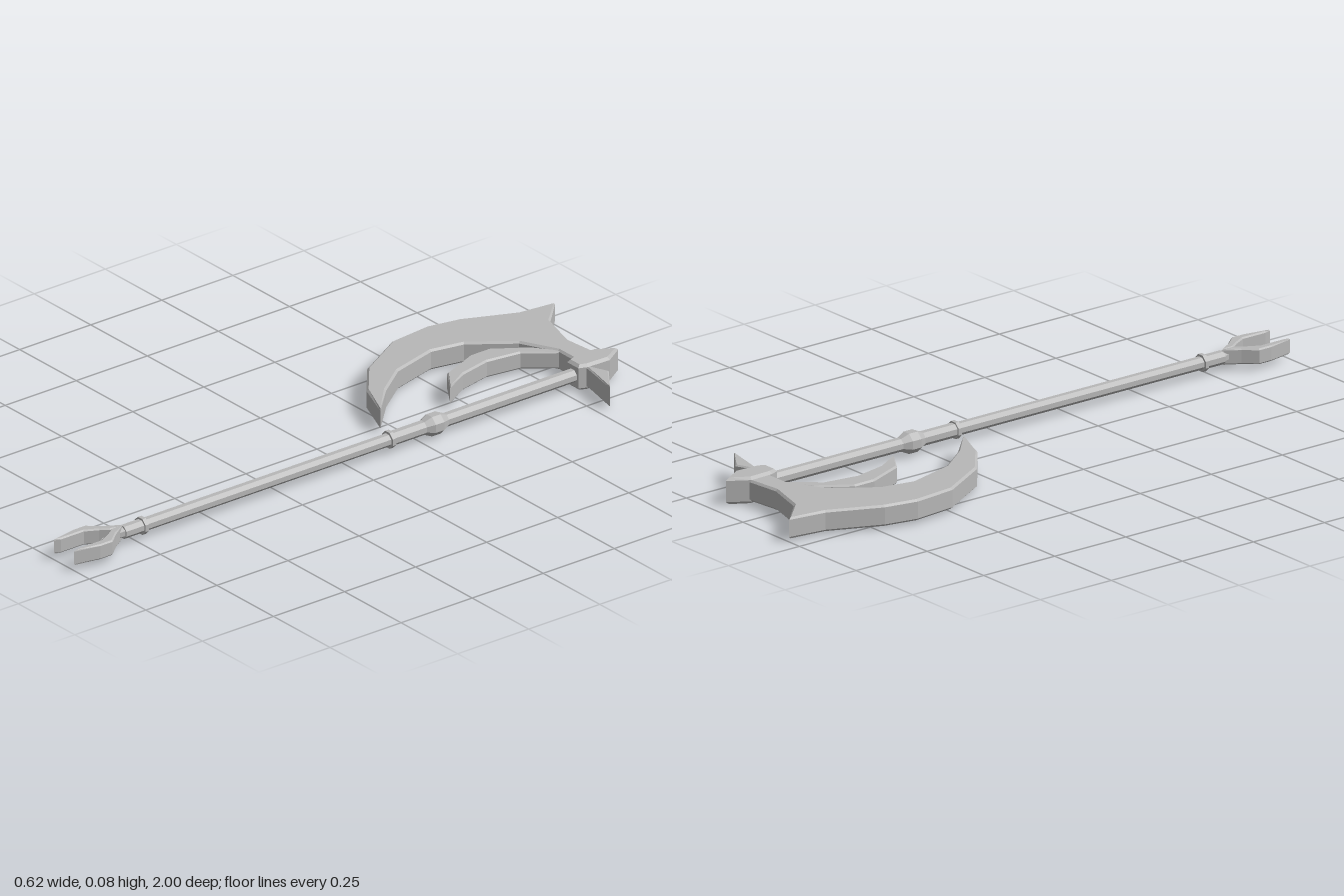
import * as THREE from 'three';

const AXIS_X = 0.138, MID_Y = 0.039;

export function createModel() {
  const model = new THREE.Group();
  model.name = 'battleAxe';
  const steel = new THREE.MeshStandardMaterial({ color: 0xb8b8b8, flatShading: true });
  steel.name = 'grey steel';

  const add = (name, geometry) => {
    const mesh = new THREE.Mesh(geometry, steel);
    mesh.name = name;
    model.add(mesh);
    return mesh;
  };

  // Bevelled plate lying flat, outlined by [x, z] points, centred on MID_Y
  const plate = (name, outline, height, bevel) => {
    const shape = new THREE.Shape(outline.map(([x, z]) => new THREE.Vector2(x, -z)));
    const g = new THREE.ExtrudeGeometry(shape, {
      depth: height - 2 * bevel, bevelEnabled: true, bevelSegments: 1,
      bevelSize: bevel, bevelThickness: bevel, bevelOffset: -bevel,
    });
    g.translate(0, 0, bevel - height / 2);
    g.rotateX(-Math.PI / 2);
    g.translate(0, MID_Y, 0);
    return add(name, g);
  };

  // Large crescent blade with its neck
  plate('crescentBlade', [
    [-0.204, -1], [-0.124, -0.92], [0, -0.884], [0.12, -0.896], [0.12, -0.82],
    [0.035, -0.82], [-0.07, -0.767], [-0.16, -0.645], [-0.18, -0.545],
    [-0.14, -0.397], [-0.066, -0.296], [0.026, -0.203], [-0.098, -0.252],
    [-0.204, -0.339], [-0.294, -0.497], [-0.308, -0.63], [-0.288, -0.73], [-0.22, -0.884],
  ], 0.062, 0.006);

  // Smaller inner hook
  plate('innerHook', [
    [0.06, -0.835], [0.02, -0.82], [-0.034, -0.778], [-0.098, -0.683], [-0.098, -0.615],
    [-0.05, -0.497], [0.027, -0.447], [-0.018, -0.53], [-0.04, -0.63],
    [-0.024, -0.735], [0.04, -0.82],
  ], 0.053, 0.005);

  // Pointed head block and the spike behind it
  plate('headBlock', [
    [0.138, -0.95], [0.1, -0.89], [0.103, -0.815], [0.113, -0.79],
    [0.163, -0.79], [0.173, -0.815], [0.176, -0.89],
  ], 0.078, 0.008);
  plate('rearSpike', [
    [0.16, -0.825], [0.178, -0.828], [0.225, -0.848], [0.308, -0.786], [0.178, -0.812], [0.16, -0.812],
  ], 0.062, 0.004);

  // Shaft with its swelling and collars, as [radius, z] along the axis
  const profile = [
    [0, -0.8], [0.02, -0.8], [0.02, -0.34], [0.032, -0.315], [0.032, -0.285], [0.021, -0.262],
    [0.021, -0.15], [0.026, -0.15], [0.026, -0.138], [0.019, -0.138],
    [0.019, 0.72], [0.026, 0.72], [0.026, 0.732], [0.02, 0.732], [0.02, 0.795], [0, 0.795],
  ].map(([r, z]) => new THREE.Vector2(r, z));
  const shaft = add('shaft', new THREE.LatheGeometry(profile, 8, Math.PI / 8));
  shaft.rotation.x = Math.PI / 2;
  shaft.position.set(AXIS_X, MID_Y, 0);

  // Small point at the foot of the shaft
  const point = add('footPoint', new THREE.ConeGeometry(0.018, 0.085, 6));
  point.rotation.x = Math.PI / 2;
  point.position.set(AXIS_X, MID_Y, 0.83);

  // Pair of curved foot claws
  for (const side of [-1, 1]) {
    plate(side < 0 ? 'rightClaw' : 'leftClaw', [
      [0, 0.795], [0.03, 0.84], [0.062, 0.878], [0.062, 0.92], [0.045, 1],
      [0.038, 0.98], [0.038, 0.9], [0.018, 0.862], [0, 0.836],
    ].map(([x, z]) => [AXIS_X + side * x, z]), 0.046, 0.004);
  }

  return model;
}
